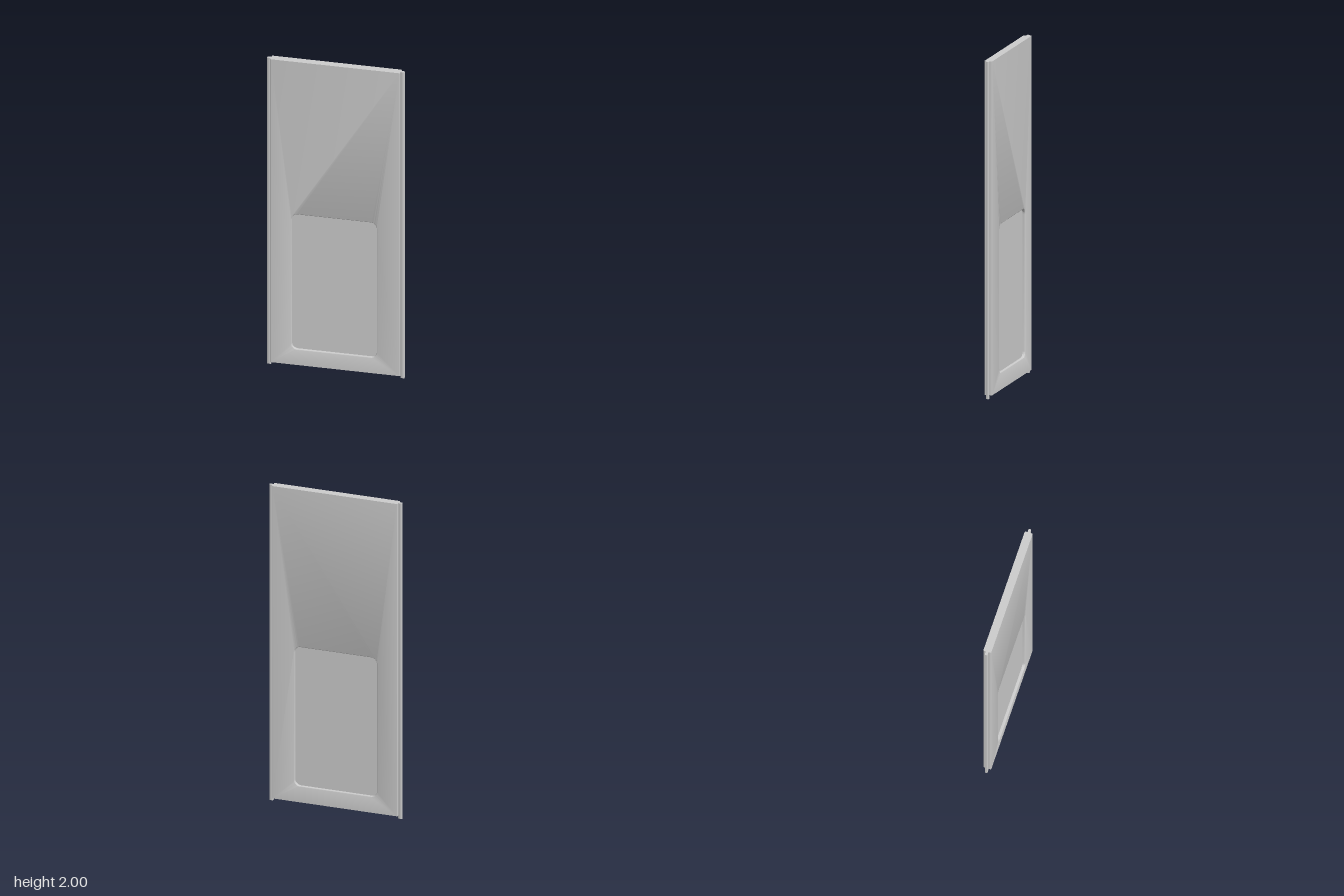
import * as THREE from 'three';
import { toCreasedNormals } from 'three/addons/utils/BufferGeometryUtils.js';

const material = new THREE.MeshStandardMaterial({ color: 0xcccccc });

function roundedRect(path, x0, y0, x1, y1, r) {
  path.moveTo(x0 + r, y0);
  path.lineTo(x1 - r, y0);
  path.absarc(x1 - r, y0 + r, r, -Math.PI / 2, 0, false);
  path.lineTo(x1, y1 - r);
  path.absarc(x1 - r, y1 - r, r, 0, Math.PI / 2, false);
  path.lineTo(x0 + r, y1);
  path.absarc(x0 + r, y1 - r, r, Math.PI / 2, Math.PI, false);
  path.lineTo(x0, y0 + r);
  path.absarc(x0 + r, y0 + r, r, Math.PI, Math.PI * 1.5, false);
  return path;
}

function addMesh(group, name, geometry) {
  const mesh = new THREE.Mesh(geometry, material);
  mesh.name = name;
  group.add(mesh);
  return mesh;
}

export function createModel() {
  const group = new THREE.Group();
  group.name = 'doorPanel';
  const bottom = 0.02, top = 2, halfWidth = 0.388;

  // Thick slab with a rounded opening and softened long edges
  const outline = new THREE.Shape();
  outline.moveTo(-halfWidth, bottom);
  outline.lineTo(halfWidth, bottom);
  outline.lineTo(halfWidth, top);
  outline.lineTo(-halfWidth, top);
  outline.closePath();
  outline.holes.push(roundedRect(new THREE.Path(), -0.26, 0.122, 0.248, 1.003, 0.036));
  const slab = new THREE.ExtrudeGeometry(outline, {
    depth: 0.038, bevelEnabled: true, bevelThickness: 0.005, bevelSize: 0.004,
    bevelOffset: -0.004, bevelSegments: 3, curveSegments: 10,
  });
  slab.translate(0, 0, -0.019);
  // Keep the top and bottom ends square
  const pos = slab.attributes.position;
  for (let i = 0; i < pos.count; i++) {
    if (pos.getY(i) > top - 0.01) pos.setY(i, top);
    if (pos.getY(i) < bottom + 0.01) pos.setY(i, bottom);
  }
  addMesh(group, 'slab', toCreasedNormals(slab, 0.7));

  // Thin sheet closing the opening, recessed on both faces
  const sheet = addMesh(group, 'recessedPanel', new THREE.BoxGeometry(0.53, 0.9, 0.016));
  sheet.position.set(-0.006, 0.5625, 0);

  // Full-height guide tongues along both sides
  for (const [name, side] of [['leftTongue', 1], ['rightTongue', -1]]) {
    const xs = [side * 0.386, side * 0.41];
    const profile = roundedRect(new THREE.Shape(), Math.min(...xs), -0.008, Math.max(...xs), 0.008, 0.004);
    const tongue = new THREE.ExtrudeGeometry(profile, { depth: 2, bevelEnabled: false, curveSegments: 4 });
    tongue.rotateX(-Math.PI / 2);
    addMesh(group, name, toCreasedNormals(tongue, 0.7));
  }
  return group;
}
